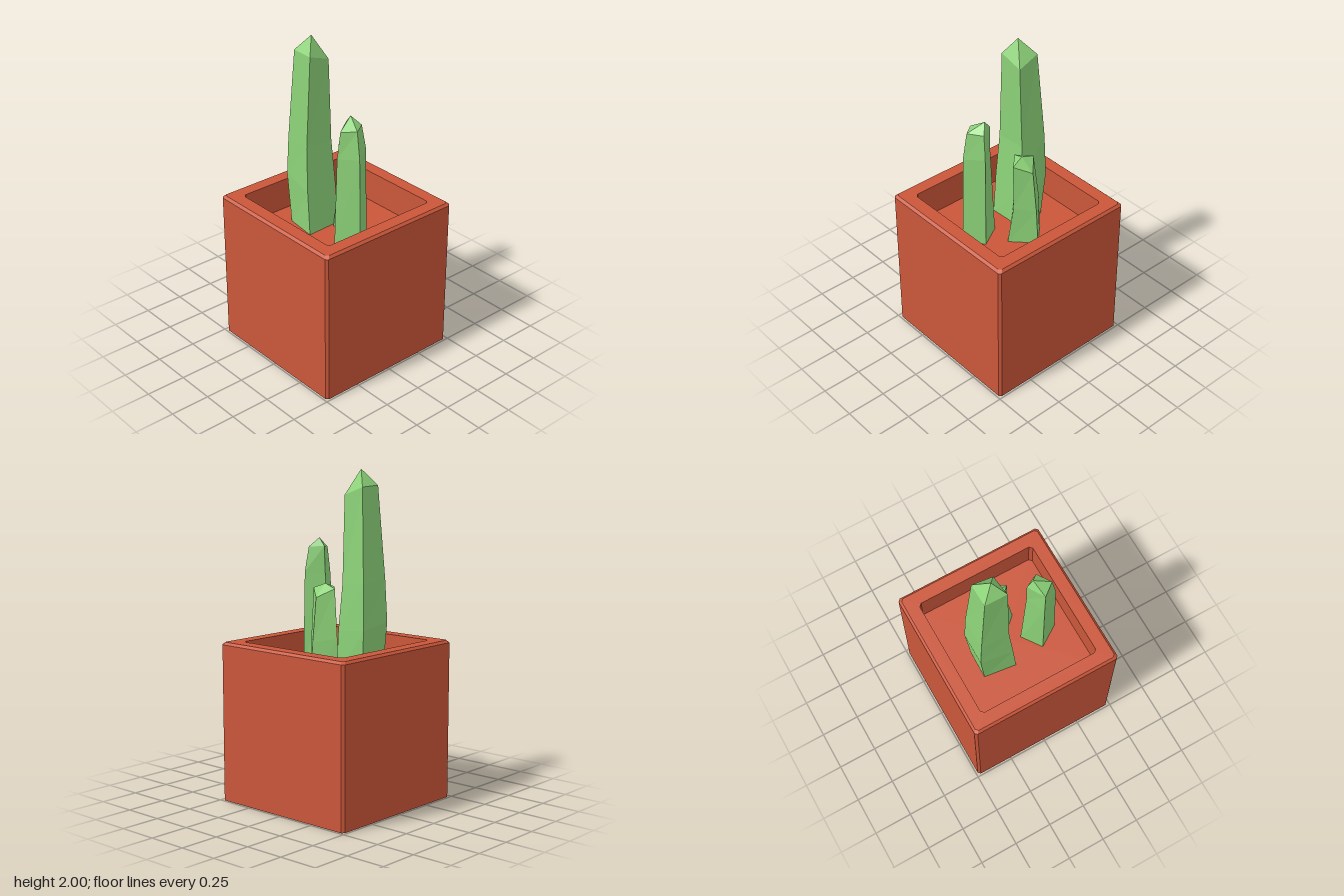
import * as THREE from 'three';

const potMaterial = new THREE.MeshStandardMaterial({ color: 0xca563a, flatShading: true });
const cactusMaterial = new THREE.MeshStandardMaterial({ color: 0x8cd278, flatShading: true });

// Skin a stack of rings; corners run counter-clockwise seen from above.
function loft(name, rings, material) {
  const positions = [];
  const addTriangle = (a, b, c) => {
    if (new THREE.Triangle(a, b, c).getArea() > 1e-7) {
      for (const p of [a, b, c]) positions.push(p.x, p.y, p.z);
    }
  };
  for (let i = 0; i < rings.length - 1; i++) {
    const low = rings[i], high = rings[i + 1], n = low.length;
    for (let j = 0; j < n; j++) {
      const k = (j + 1) % n;
      addTriangle(low[j], low[k], high[k]);
      addTriangle(low[j], high[k], high[j]);
    }
  }
  const geometry = new THREE.BufferGeometry();
  geometry.setAttribute('position', new THREE.Float32BufferAttribute(positions, 3));
  geometry.computeVertexNormals();
  const mesh = new THREE.Mesh(geometry, material);
  mesh.name = name;
  return mesh;
}

// Square ring with cut corners.
function squareRing(half, cut, y) {
  const inner = half - cut;
  return [
    [inner, half], [half, inner], [half, -inner], [inner, -half],
    [-inner, -half], [-half, -inner], [-half, inner], [-inner, half],
  ].map(([x, z]) => new THREE.Vector3(x, y, z));
}

// Four-sided stem: rings of [x, y, z] corners, closed by a pointed tip.
function cactus(name, rings, tip) {
  const corners = rings.map(ring => ring.map(p => new THREE.Vector3(...p)));
  const point = new THREE.Vector3(...tip);
  return loft(name, [...corners, [point, point, point, point]], cactusMaterial);
}

export function createModel() {
  const model = new THREE.Group();
  model.name = 'pottedCacti';

  // Pot: underside, outer wall, bevelled rim, inner wall and soil floor
  model.add(loft('pot', [
    squareRing(0, 0, 0),
    squareRing(0.488, 0.015, 0),
    squareRing(0.488, 0.015, 0.96),
    squareRing(0.473, 0.015, 0.975),
    squareRing(0.393, 0.018, 0.975),
    squareRing(0.393, 0.018, 0.775),
    squareRing(0, 0, 0.775),
  ], potMaterial));

  // Tall stem at the back
  model.add(cactus('tallCactus', [
    [[0.05, 0.77, -0.045], [0.04, 0.77, -0.235], [-0.145, 0.77, -0.24], [-0.172, 0.77, -0.035]],
    [[0.05, 1.05, -0.06], [0.053, 1.07, -0.26], [-0.155, 1.1, -0.265], [-0.17, 1.05, -0.055]],
    [[0.036, 1.33, -0.08], [0.045, 1.35, -0.25], [-0.15, 1.35, -0.252], [-0.157, 1.33, -0.075]],
    [[0.015, 1.85, -0.078], [0.013, 1.9, -0.213], [-0.13, 1.905, -0.21], [-0.13, 1.9, -0.07]],
  ], [-0.065, 2, -0.135]));

  // Medium stem at the front
  model.add(cactus('mediumCactus', [
    [[-0.065, 0.77, 0.297], [0.055, 0.77, 0.22], [-0.028, 0.77, 0.078], [-0.152, 0.77, 0.165]],
    [[-0.065, 1.36, 0.285], [0.048, 1.38, 0.212], [-0.025, 1.36, 0.112], [-0.136, 1.35, 0.17]],
    [[-0.06, 1.53, 0.257], [0.025, 1.53, 0.2], [-0.02, 1.535, 0.115], [-0.12, 1.52, 0.18]],
  ], [-0.02, 1.585, 0.155]));

  // Short stem at the side
  model.add(cactus('shortCactus', [
    [[0.12, 0.77, 0.105], [0.25, 0.77, -0.022], [0.137, 0.77, -0.14], [0.002, 0.77, -0.022]],
    [[0.138, 1.02, 0.075], [0.232, 1.0, -0.022], [0.135, 1.02, -0.128], [0.033, 1.02, -0.022]],
    [[0.125, 1.305, 0.068], [0.2, 1.26, -0.02], [0.12, 1.31, -0.095], [0.04, 1.31, -0.02]],
  ], [0.11, 1.335, -0.012]));

  return model;
}
